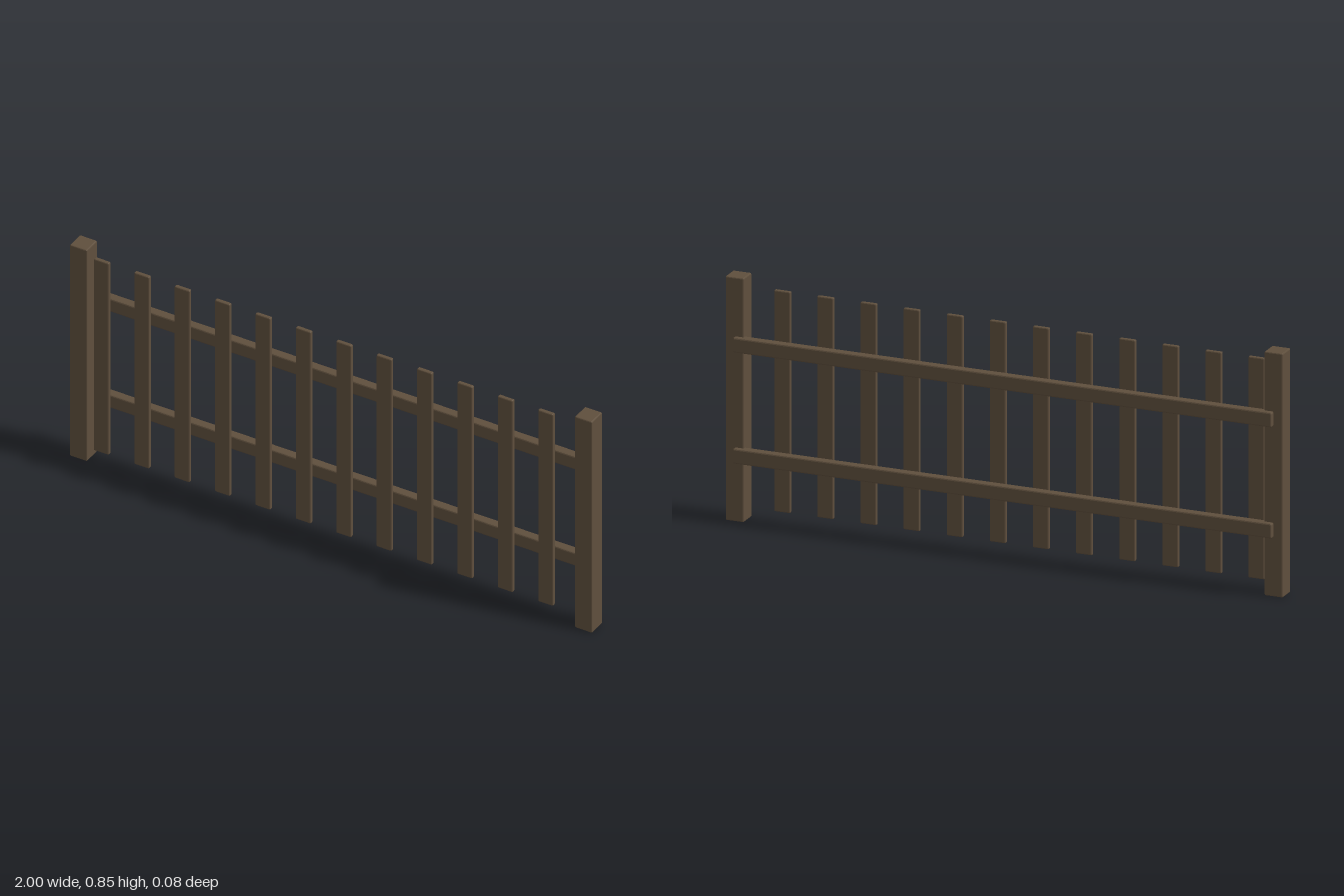
import * as THREE from 'three';
import { RoundedBoxGeometry } from 'three/addons/geometries/RoundedBoxGeometry.js';

const wood = new THREE.MeshStandardMaterial({ color: 0x5f4f3d, flatShading: true });

// A timber with narrow chamfered edges, given by its extents
function timber(name, [x0, x1], [y0, y1], [z0, z1], chamfer) {
  const geometry = new RoundedBoxGeometry(x1 - x0, y1 - y0, z1 - z0, 1, chamfer);
  const mesh = new THREE.Mesh(geometry, wood);
  mesh.name = name;
  mesh.position.set((x0 + x1) / 2, (y0 + y1) / 2, (z0 + z1) / 2);
  return mesh;
}

export function createModel() {
  const fence = new THREE.Group();
  fence.name = 'fence';

  // End posts
  fence.add(timber('leftPost', [0.934, 1], [0, 0.85], [-0.025, 0.042], 0.004));
  fence.add(timber('rightPost', [-1, -0.934], [0, 0.85], [-0.025, 0.042], 0.004));

  // Horizontal rails, overlapping the back of the posts
  fence.add(timber('lowerRail', [-0.967, 0.967], [0.206, 0.258], [-0.042, -0.009], 0.005));
  fence.add(timber('upperRail', [-0.967, 0.967], [0.593, 0.645], [-0.042, -0.009], 0.005));

  // Upright slats in front of the rails, evenly spaced from the right post
  const slats = new THREE.Group();
  slats.name = 'slats';
  for (let i = 0; i < 12; i++) {
    const x = -0.89 + i * 0.1547;
    slats.add(timber('slat' + (i + 1), [x - 0.029, x + 0.029], [0.041, 0.812], [0.01, 0.025], 0.004));
  }
  fence.add(slats);

  return fence;
}
